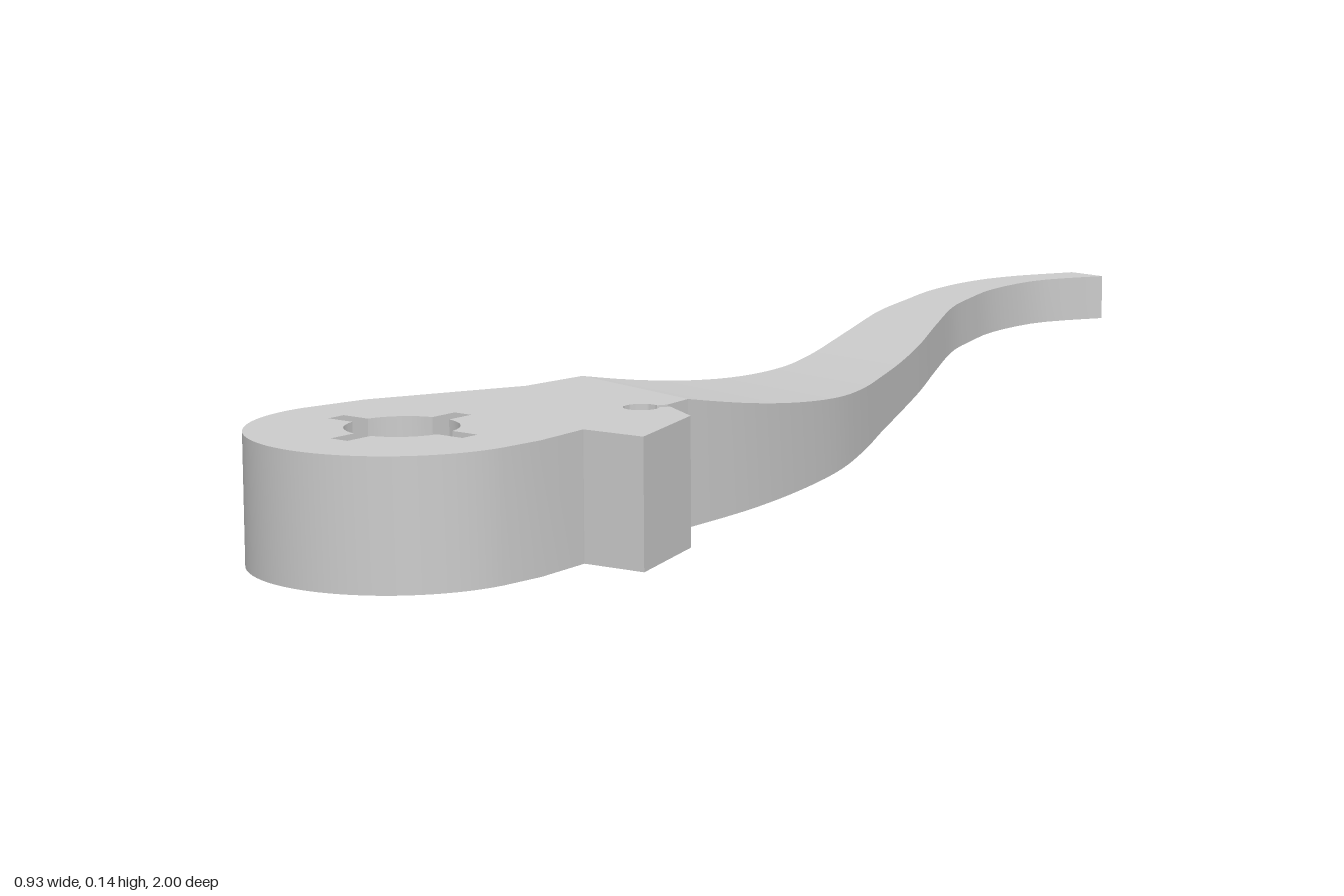
import * as THREE from 'three';
import { toCreasedNormals } from 'three/addons/utils/BufferGeometryUtils.js';

const TOP = 0.145, TAIL = 0.064;
const material = new THREE.MeshStandardMaterial({ color: 0xcccccc });

const curve = (pts) => new THREE.SplineCurve(pts.map(([x, z]) => new THREE.Vector2(x, z)));

// Side edges of the handle seen from above (x, z), tail first
const leftEdge = curve([[-0.41, -1], [-0.447, -0.9], [-0.453, -0.81], [-0.432, -0.71], [-0.394, -0.617],
  [-0.346, -0.51], [-0.278, -0.394], [-0.204, -0.272], [-0.13, -0.156], [-0.05, -0.024],
  [0.02, 0.12], [0.07, 0.25], [0.108, 0.378], [0.13, 0.48]]);
const rightEdge = curve([[-0.35, -1], [-0.383, -0.92], [-0.388, -0.86], [-0.373, -0.775], [-0.34, -0.696],
  [-0.294, -0.606], [-0.198, -0.468], [-0.103, -0.336], [-0.013, -0.204], [0.07, -0.08],
  [0.145, 0.03], [0.214, 0.145], [0.267, 0.267], [0.304, 0.384], [0.327, 0.5]]);

// Thickness swells from the thin tail up to the head
function thickness(p) {
  const s = Math.max(0, p.y - 0.1 * (p.x - 0.13) + 0.3);
  return Math.min(TOP, TAIL + (TOP - TAIL) * (s / 0.78) ** 2);
}

// Loft of box sections with a groove cut into the left edge near the tail
function handleGeometry() {
  const grooveEnd = 0.37;
  const stations = [[0, 0.7], [0.015, 0.7], [0.015, 0.4]];
  for (let i = 1; i <= 18; i++) stations.push([0.015 + (grooveEnd - 0.015) * i / 18, 0.4 - 0.1 * i / 18]);
  for (let i = 0; i <= 30; i++) stations.push([grooveEnd + (1 - grooveEnd) * i / 30, 0]);

  const rings = stations.map(([t, depth]) => {
    const l = leftEdge.getPointAt(t), r = rightEdge.getPointAt(t);
    const inner = l.clone().lerp(r, depth);
    const lo = 0.019, hi = 0.047;
    return [[l, 0], [l, lo], [inner, lo], [inner, hi], [l, hi], [l, thickness(l)], [r, thickness(r)], [r, 0]]
      .map(([p, y]) => [p.x, y, p.y]);
  });

  const pos = [];
  const tri = (a, b, c) => pos.push(...a, ...b, ...c);
  for (let i = 0; i < rings.length - 1; i++) {
    const a = rings[i], b = rings[i + 1];
    for (let j = 0; j < 8; j++) {
      const k = (j + 1) % 8;
      tri(a[j], b[j], a[k]);
      tri(b[j], b[k], a[k]);
    }
  }
  // Tail end face around the groove
  const e = rings[0];
  for (const [a, b, c, d] of [[0, 1, 2, 7], [2, 3, 6, 7], [3, 4, 5, 6]]) {
    tri(e[a], e[b], e[c]);
    tri(e[a], e[c], e[d]);
  }
  const g = new THREE.BufferGeometry();
  g.setAttribute('position', new THREE.Float32BufferAttribute(pos, 3));
  return toCreasedNormals(g, 0.5);
}

// Round head with a stop tooth, a slit relief hole and a keyed bore
function headGeometry() {
  const s = new THREE.Shape();
  const line = (pts) => pts.forEach(([x, z]) => s.lineTo(x, -z));
  s.moveTo(0.13, -0.48);
  line([[0.135, 0.57], [0.108, 0.655], [0.077, 0.754]]);
  s.absarc(0.237, -0.834, 0.166, Math.PI, Math.PI * 2, false);
  line([[0.4, 0.78], [0.384, 0.706], [0.46, 0.69], [0.405, 0.57], [0.349, 0.547]]);
  s.absarc(0.328, -0.571, 0.02, 0.82, 1.34 - Math.PI * 2, true);
  line([[0.337, 0.54], [0.327, 0.5]]);

  // Bore with four narrow keyways
  const bore = new THREE.Path();
  const R = 0.062, tip = 0.097, half = 0.012, a = Math.asin(half / R), b = Math.asin(half / tip);
  const pts = [];
  const add = (r, ang) => pts.push(new THREE.Vector2(0.235 + r * Math.cos(ang), -0.83 + r * Math.sin(ang)));
  for (let k = 0; k < 4; k++) {
    const c = 0.14 + k * Math.PI / 2;
    add(tip, c - b);
    add(tip, c + b);
    for (let i = 0; i <= 8; i++) add(R, c + a + (Math.PI / 2 - 2 * a) * i / 8);
  }
  bore.setFromPoints(pts);
  s.holes.push(bore);

  const g = new THREE.ExtrudeGeometry(s, { depth: TOP, bevelEnabled: false, curveSegments: 24 });
  g.rotateX(-Math.PI / 2);
  return toCreasedNormals(g, 0.4);
}

// Rounded clip bridging the groove
function clipGeometry() {
  const s = new THREE.Shape();
  s.moveTo(-0.425, 0.001);
  s.lineTo(-0.425, 0.063);
  s.lineTo(-0.45, 0.063);
  s.quadraticCurveTo(-0.48, 0.032, -0.45, 0.001);
  const g = new THREE.ExtrudeGeometry(s, { depth: 0.045, bevelEnabled: false });
  g.translate(0, 0, -0.9);
  return toCreasedNormals(g, 0.5);
}

export function createModel() {
  const group = new THREE.Group();
  group.name = 'lever';
  const parts = { handle: handleGeometry(), head: headGeometry(), grooveClip: clipGeometry() };
  for (const [name, geometry] of Object.entries(parts)) {
    const mesh = new THREE.Mesh(geometry, material);
    mesh.name = name;
    group.add(mesh);
  }
  return group;
}
